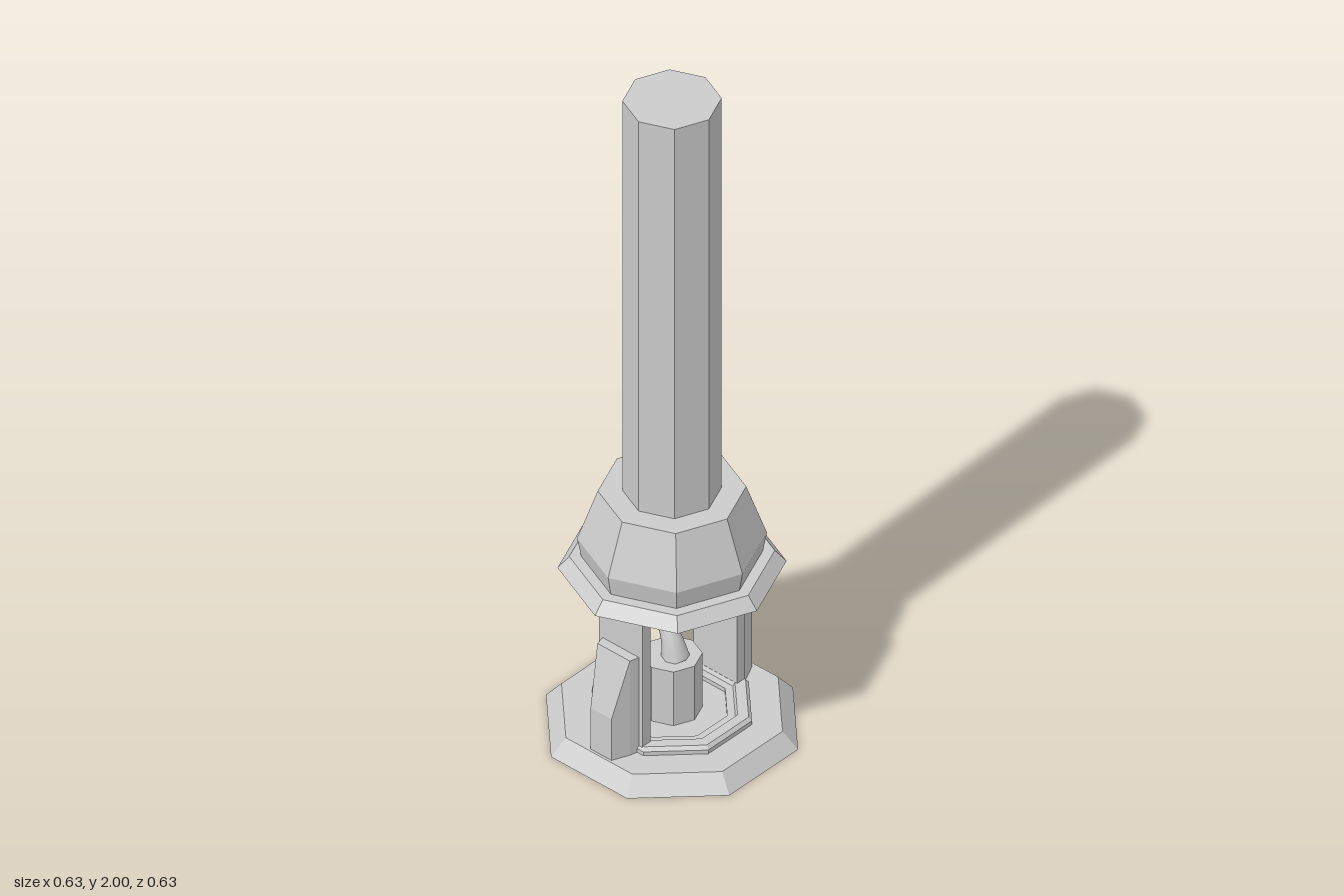
import * as THREE from 'three';

const flat = new THREE.MeshStandardMaterial({ color: 0xcccccc, flatShading: true });
const smooth = new THREE.MeshStandardMaterial({ color: 0xcccccc });

function add(parent, name, geometry, material = flat) {
  const mesh = new THREE.Mesh(geometry, material);
  mesh.name = name;
  parent.add(mesh);
  return mesh;
}

// Eight-sided turned solid; profile is [radius, y] from bottom to top
function octagon(profile, flatFront = false) {
  const g = new THREE.LatheGeometry(profile.map(([r, y]) => new THREE.Vector2(r, y)), 8);
  return flatFront ? g.rotateY(Math.PI / 8) : g;
}

// Tapered tube through points, one radius per point
function limb(points, radii, sides = 8, steps = 14) {
  const curve = new THREE.CatmullRomCurve3(points.map(p => new THREE.Vector3(...p)));
  const g = new THREE.TubeGeometry(curve, steps, 1, sides);
  const pos = g.attributes.position, v = new THREE.Vector3();
  for (let i = 0; i < pos.count; i++) {
    const t = Math.floor(i / (sides + 1)) / steps;
    const k = Math.min(Math.floor(t * (radii.length - 1)), radii.length - 2);
    const r = THREE.MathUtils.lerp(radii[k], radii[k + 1], t * (radii.length - 1) - k);
    const c = curve.getPointAt(t);
    v.fromBufferAttribute(pos, i).sub(c).multiplyScalar(r).add(c);
    pos.setXYZ(i, v.x, v.y, v.z);
  }
  g.computeVertexNormals();
  return g;
}

// Block lofted outwards along x through rectangular sections [x, top, half depth]
function buttress(sections, bottom) {
  const p = [], index = [];
  for (const [x, top, d] of sections) p.push(x, bottom, d, x, bottom, -d, x, top, -d, x, top, d);
  for (let s = 0; s < sections.length - 1; s++) {
    for (let j = 0; j < 4; j++) {
      const a = s * 4 + j, b = s * 4 + (j + 1) % 4;
      index.push(a, b, b + 4, a, b + 4, a + 4);
    }
  }
  const e = (sections.length - 1) * 4;
  index.push(e, e + 1, e + 2, e, e + 2, e + 3, 0, 2, 1, 0, 3, 2);
  const g = new THREE.BufferGeometry();
  g.setAttribute('position', new THREE.Float32BufferAttribute(p, 3));
  g.setIndex(index);
  g.computeVertexNormals();
  return g;
}

export function createModel() {
  const model = new THREE.Group();
  model.name = 'columnShrine';

  // Stepped base
  add(model, 'base', octagon([[0, 0], [0.342, 0], [0.3, 0.048], [0, 0.048]], true));
  add(model, 'baseRim', octagon(
    [[0.217, 0.045], [0.217, 0.06], [0.208, 0.07], [0.178, 0.07], [0.172, 0.06], [0.15, 0.06], [0.15, 0.045]], true));

  // Canopy and column
  add(model, 'canopyBoss', octagon([[0, 0.468], [0.137, 0.468], [0.16, 0.508], [0, 0.508]]));
  add(model, 'canopyEave', octagon([[0, 0.507], [0.293, 0.507], [0.263, 0.542], [0, 0.542]]));
  add(model, 'canopyDome', octagon([[0.232, 0.54], [0.243, 0.6], [0.19, 0.75], [0, 0.75]]));
  add(model, 'column', octagon([[0.127, 0.748], [0.127, 2], [0, 2]]));

  // Side panels
  for (const side of [-1, 1]) {
    add(model, 'sidePanel', new THREE.BoxGeometry(0.03, 0.465, 0.15)).position.set(side * 0.18, 0.278, 0);
  }

  // Outer blocks, a low one on the left and a tall one on the right
  add(model, 'leftBlock', buttress([[0.194, 0.275, 0.063], [0.21, 0.275, 0.063], [0.265, 0.242, 0.036]], 0.045));
  add(model, 'rightBlock', buttress([[0.194, 0.35, 0.063], [0.222, 0.35, 0.056], [0.27, 0.18, 0.036]], 0.045))
    .rotation.y = Math.PI;
  add(model, 'lever', limb(
    [[0.222, 0.25, 0], [0.224, 0.285, 0], [0.215, 0.318, 0], [0.197, 0.334, 0]], [0.01, 0.01, 0.01, 0.003]), smooth);

  // Pedestal
  add(model, 'pedestal', octagon([[0.078, 0.045], [0.078, 0.22], [0, 0.22]]));

  // Stag bust, facing the back
  const stag = new THREE.Group();
  stag.name = 'stagBust';
  model.add(stag);
  add(stag, 'neck', limb(
    [[0, 0.215, 0.012], [0, 0.265, 0], [0, 0.31, -0.025], [0, 0.345, -0.06], [0, 0.352, -0.078]],
    [0.037, 0.03, 0.023, 0.022, 0.002]), smooth);
  add(stag, 'head', limb(
    [[0, 0.348, -0.042], [0, 0.338, -0.06], [0, 0.315, -0.09], [0, 0.29, -0.12], [0, 0.275, -0.137], [0, 0.271, -0.142]],
    [0.002, 0.026, 0.027, 0.017, 0.014, 0.001]), smooth);
  for (const s of [-1, 1]) {
    add(stag, 'ear', limb(
      [[s * 0.016, 0.338, -0.075], [s * 0.028, 0.352, -0.095], [s * 0.036, 0.37, -0.117]],
      [0.006, 0.01, 0.001], 6, 6), smooth);
    add(stag, 'antler', limb(
      [[s * 0.013, 0.35, -0.065], [s * 0.045, 0.366, -0.048], [s * 0.072, 0.4, -0.03],
        [s * 0.072, 0.437, -0.025], [s * 0.055, 0.468, -0.035]],
      [0.009, 0.009, 0.008, 0.007, 0.003], 6), smooth);
    add(stag, 'tine', limb(
      [[s * 0.05, 0.37, -0.045], [s * 0.04, 0.39, -0.06], [s * 0.026, 0.412, -0.068]],
      [0.007, 0.006, 0.001], 6, 6), smooth);
    add(stag, 'tine', limb(
      [[s * 0.072, 0.405, -0.028], [s * 0.058, 0.425, -0.01], [s * 0.048, 0.45, -0.005]],
      [0.006, 0.006, 0.001], 6, 6), smooth);
  }

  return model;
}
